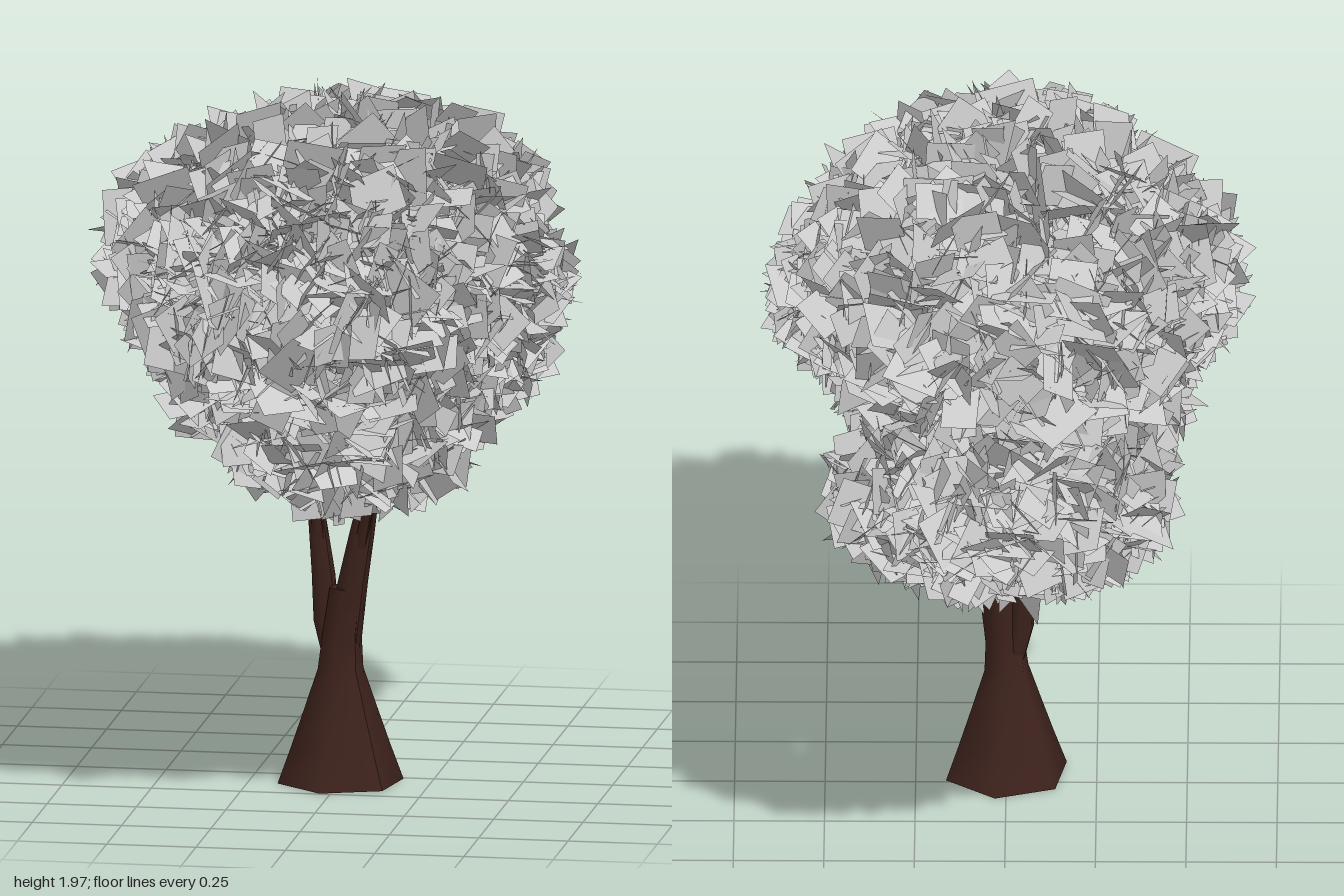
import * as THREE from 'three';
import { mergeGeometries } from 'three/addons/utils/BufferGeometryUtils.js';

// small seeded random generator
function seeded(seed) {
  return () => {
    seed = (seed * 1664525 + 1013904223) % 4294967296;
    return seed / 4294967296;
  };
}

// tapered six-sided limb through rows of [x, y, z, radius], bottom to top
function limb(name, rows, material) {
  const n = rows.length - 1;
  const geo = new THREE.CylinderGeometry(1, 1, 1, 6, n, false, THREE.MathUtils.degToRad(50));
  const pos = geo.attributes.position;
  for (let i = 0; i < pos.count; i++) {
    const [x, y, z, r] = rows[Math.round((pos.getY(i) + 0.5) * n)];
    pos.setXYZ(i, x + pos.getX(i) * r, y, z + pos.getZ(i) * r);
  }
  geo.computeVertexNormals();
  const mesh = new THREE.Mesh(geo, material);
  mesh.name = name;
  return mesh;
}

// leaf clumps: centre, outer radii, number of cards
const clumps = [
  { name: 'crownLeaves', c: [0, 1.5, 0.1], r: [0.62, 0.44, 0.8], n: 1500 },
  { name: 'frontLeaves', c: [0, 1.42, 0.5], r: [0.52, 0.36, 0.47], n: 700 },
  { name: 'rightLeaves', c: [-0.36, 1.5, 0.12], r: [0.3, 0.3, 0.45], n: 350 },
  { name: 'leftLeaves', c: [0.36, 1.43, 0.18], r: [0.3, 0.25, 0.4], n: 350 },
  { name: 'lowFrontLeaves', c: [0.08, 1.08, 0.4], r: [0.38, 0.25, 0.34], n: 420 },
  { name: 'lowBackLeaves', c: [0.01, 1.13, -0.48], r: [0.5, 0.25, 0.51], n: 750 },
  { name: 'lowMiddleLeaves', c: [-0.04, 1.13, 0.02], r: [0.48, 0.23, 0.4], n: 350 },
];

function depthIn(clump, p) {
  return Math.hypot(...p.toArray().map((v, k) => (v - clump.c[k]) / clump.r[k]));
}

// flat cards, turned at random, spread through the outer shell of a clump
function leafCards(clump, rand) {
  const cards = [];
  for (let i = 0; i < clump.n; i++) {
    const up = rand() * 2 - 1, a = rand() * Math.PI * 2, s = Math.sqrt(1 - up * up);
    const shell = 0.86 + rand() * 0.14;
    const dir = [s * Math.cos(a), up, s * Math.sin(a)];
    const p = new THREE.Vector3(...dir.map((d, k) => clump.c[k] + d * (clump.r[k] - 0.045) * shell));
    const w = 0.09 + rand() * 0.06, h = 0.1 + rand() * 0.08;
    const q = new THREE.Quaternion(rand() - 0.5, rand() - 0.5, rand() - 0.5, rand() - 0.5).normalize();
    // leave out cards buried inside another clump
    if (clumps.some(o => o !== clump && depthIn(o, p) < 0.7)) continue;
    cards.push(new THREE.PlaneGeometry(w, h).applyQuaternion(q).translate(p.x, p.y, p.z));
  }
  return mergeGeometries(cards);
}

export function createModel() {
  const tree = new THREE.Group();
  tree.name = 'tree';
  const bark = new THREE.MeshStandardMaterial({ color: 0x3d221c, roughness: 0.9 });
  const leaf = new THREE.MeshStandardMaterial({ color: 0xcccccc, side: THREE.DoubleSide });

  // trunk with flared foot
  tree.add(limb('trunk', [
    [0, 0, 0.07, 0.177], [0, 0.1, 0.07, 0.14], [0, 0.2, 0.07, 0.105], [0, 0.32, 0.07, 0.064],
    [0.005, 0.42, 0.075, 0.055], [0.02, 0.55, 0.075, 0.05],
  ], bark));

  // forked main limbs
  tree.add(limb('leftLimb', [
    [0.012, 0.38, 0.075, 0.046], [0.035, 0.56, 0.08, 0.043], [0.062, 0.7, 0.09, 0.036],
    [0.095, 0.88, 0.09, 0.024], [0.14, 1.2, 0.08, 0.01],
  ], bark));
  tree.add(limb('rightLimb', [
    [-0.02, 0.34, 0.06, 0.03], [-0.042, 0.45, 0.055, 0.036], [-0.05, 0.58, 0.055, 0.033],
    [-0.068, 0.74, 0.055, 0.025], [-0.085, 0.92, 0.04, 0.014], [-0.1, 1.2, 0.02, 0.006],
  ], bark));

  // thin side branches
  const twigs = {
    frontBranch: [[0.05, 0.62, 0.09], [0.09, 0.8, 0.14], [0.12, 0.95, 0.185], [0.16, 1.2, 0.25]],
    backBranch: [[0.06, 0.7, 0.08], [0.09, 0.85, 0.04], [0.11, 0.97, 0], [0.15, 1.2, -0.1]],
    rightBranch: [[-0.06, 0.66, 0.06], [-0.07, 0.8, 0.08], [-0.08, 0.95, 0.09], [-0.12, 1.2, 0.12]],
  };
  for (const [name, path] of Object.entries(twigs))
    tree.add(limb(name, path.map((p, i) => [...p, 0.02 - i * 0.005]), bark));

  // foliage
  const foliage = new THREE.Group();
  foliage.name = 'foliage';
  const rand = seeded(7);
  for (const clump of clumps) {
    const mesh = new THREE.Mesh(leafCards(clump, rand), leaf);
    mesh.name = clump.name;
    foliage.add(mesh);
  }
  tree.add(foliage);
  return tree;
}
